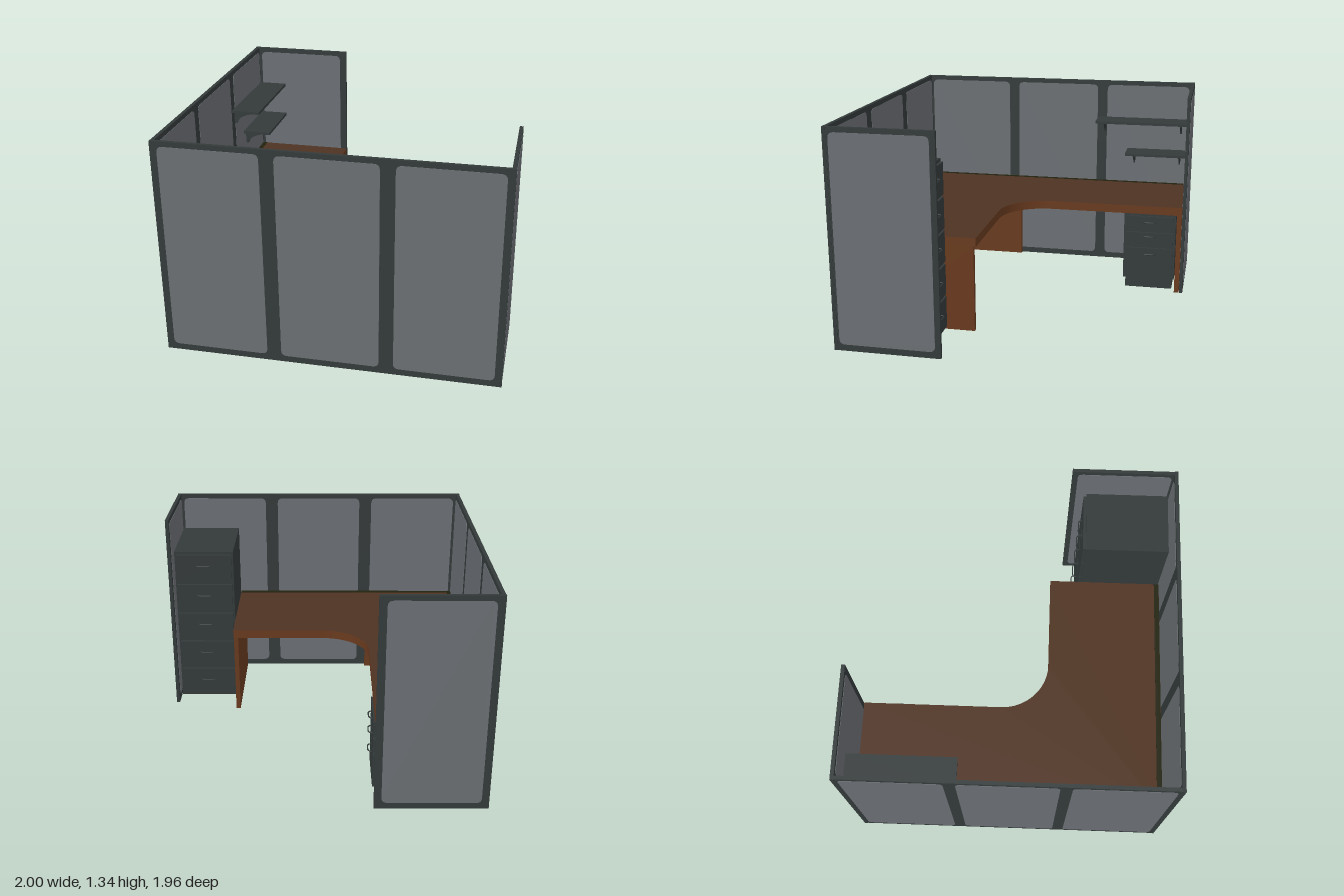
import * as THREE from 'three';

const mat = (name, color) => {
  const m = new THREE.MeshStandardMaterial({ color });
  m.name = name;
  return m;
};

export function createModel() {
  const frame = mat('dark metal', 0x343a3a);
  const fabric = mat('grey panel', 0x6b6f73);
  const woodTop = mat('desk top wood', 0x4e3322);
  const woodSide = mat('desk side wood', 0x693a1e);
  const shade = mat('dark edge strip', 0x22220f);

  const root = new THREE.Group();
  root.name = 'officeCubicle';

  const group = (name, parent = root) => {
    const g = new THREE.Group();
    g.name = name;
    parent.add(g);
    return g;
  };
  const add = (parent, name, geometry, material) => {
    const m = new THREE.Mesh(geometry, material);
    m.name = name;
    parent.add(m);
    return m;
  };
  // box given by its two corners
  const box = (parent, name, material, [x0, x1], [y0, y1], [z0, z1]) => {
    const m = add(parent, name, new THREE.BoxGeometry(x1 - x0, y1 - y0, z1 - z0), material);
    m.position.set((x0 + x1) / 2, (y0 + y1) / 2, (z0 + z1) / 2);
    return m;
  };

  // partition walls: a dark frame with a rounded grey inset showing on both sides
  const T = 0.022, H = 1.335, W = 0.66;
  const insetShape = (w, h, r) => {
    const s = new THREE.Shape(), x = w / 2, y = h / 2;
    s.moveTo(-x + r, -y).lineTo(x - r, -y).quadraticCurveTo(x, -y, x, -y + r);
    s.lineTo(x, y - r).quadraticCurveTo(x, y, x - r, y);
    s.lineTo(-x + r, y).quadraticCurveTo(-x, y, -x, y - r);
    s.lineTo(-x, -y + r).quadraticCurveTo(-x, -y, -x + r, -y);
    return s;
  };
  const insetDepth = T + 0.005;
  const insetGeo = new THREE.ExtrudeGeometry(insetShape(0.582, 1.265, 0.035),
    { depth: insetDepth, bevelEnabled: false, curveSegments: 5 });
  insetGeo.translate(0, 0.6725, -insetDepth / 2);
  const wall = (name, x, z, turn, count, pitch) => {
    const g = group(name);
    g.position.set(x, 0, z);
    g.rotation.y = turn;
    const half = count * pitch / 2;
    box(g, 'wallFrame', frame, [-half, half], [0, H], [-T / 2, T / 2]);
    for (let i = 0; i < count; i++) {
      add(g, 'wallInset', insetGeo, fabric).position.x = (i + 0.5) * pitch - half;
    }
  };
  wall('frontWall', 0, 0.966, 0, 3, 2 / 3);
  wall('sideWall', -0.987, 0, Math.PI / 2, 3, 1.954 / 3);
  wall('backWall', -0.665, -0.966, 0, 1, 0.67);
  wall('shortWall', 0.987, 0.652, Math.PI / 2, 1, 0.65);

  // L-shaped desk with a rounded inner corner
  const desk = group('desk');
  const s = new THREE.Shape();
  s.moveTo(-0.974, -0.953).lineTo(0.57, -0.953).lineTo(0.57, -0.225).lineTo(-0.03, -0.225);
  s.absarc(-0.03, 0.075, 0.3, -Math.PI / 2, -Math.PI, true);
  s.lineTo(-0.33, 0.953).lineTo(-0.974, 0.953);
  const topGeo = new THREE.ExtrudeGeometry(s, { depth: 0.055, bevelEnabled: false, curveSegments: 16 });
  topGeo.rotateX(-Math.PI / 2).translate(0, 0.545, 0);
  add(desk, 'deskTop', topGeo, [woodTop, woodSide]);
  box(desk, 'edgeStrip', shade, [-0.973, -0.945], [0.598, 0.602], [-0.95, 0.952]);
  box(desk, 'edgeStrip', shade, [-0.945, 0.569], [0.598, 0.602], [0.92, 0.952]);

  // end panels, aprons and corner boards below the top
  box(desk, 'endPanel', woodSide, [0.54, 0.569], [0, 0.546], [0.24, 0.952]);
  box(desk, 'endPanel', woodSide, [-0.972, -0.335], [0, 0.546], [-0.952, -0.92]);
  box(desk, 'apron', woodSide, [-0.972, 0.54], [0.405, 0.546], [0.925, 0.952]);
  box(desk, 'apron', woodSide, [-0.972, -0.945], [0.405, 0.546], [-0.92, 0.925]);
  box(desk, 'cornerBoard', woodSide, [-0.972, -0.35], [0, 0.405], [0.925, 0.952]);
  box(desk, 'cornerBoard', woodSide, [-0.972, -0.945], [0, 0.405], [0.27, 0.925]);

  // drawer handle: a bowed bar in its own x/z plane, sticking out to +z
  const handleGeo = (w, d, corner) => new THREE.TubeGeometry(new THREE.CatmullRomCurve3([
    new THREE.Vector3(-w / 2, 0, 0), new THREE.Vector3(-w / 2 * corner, 0, d * 0.8),
    new THREE.Vector3(0, 0, d), new THREE.Vector3(w / 2 * corner, 0, d * 0.8),
    new THREE.Vector3(w / 2, 0, 0)]), 16, 0.004, 6);

  // tall cabinet with five drawers facing the back
  const tall = group('tallCabinet');
  box(tall, 'cabinetBody', frame, [0.573, 0.968], [0.01, 1.085], [0.43, 0.948]);
  const tallHandle = handleGeo(0.1, 0.027, 0.95);
  for (let i = 0; i < 5; i++) {
    const y = 0.025 + i * 0.211;
    box(tall, 'drawerFront', frame, [0.585, 0.958], [y, y + 0.197], [0.412, 0.43]);
    const h = add(tall, 'drawerHandle', tallHandle, frame);
    h.position.set(0.77, y + 0.125, 0.412);
    h.rotation.y = Math.PI;
  }

  // pedestal under the desk with three drawers facing +x
  const ped = group('pedestal');
  box(ped, 'pedestalBody', frame, [-0.93, -0.337], [0.09, 0.543], [-0.915, -0.57]);
  box(ped, 'pedestalBase', frame, [-0.92, -0.36], [0.015, 0.09], [-0.9, -0.585]);
  const pedHandle = handleGeo(0.09, 0.023, 0.75);
  for (const [y0, y1, hy] of [[0.1, 0.308, 0.27], [0.32, 0.417, 0.395], [0.43, 0.53, 0.493]]) {
    box(ped, 'drawerFront', frame, [-0.337, -0.322], [y0, y1], [-0.9, -0.585]);
    const h = add(ped, 'drawerHandle', pedHandle, frame);
    h.position.set(-0.322, hy, -0.742);
    h.rotation.y = Math.PI / 2;
  }
  for (const y of [0.32, 0.5]) {
    box(ped, 'hinge', frame, [-0.345, -0.325], [y - 0.015, y + 0.015], [-0.918, -0.905]);
  }

  // wall shelves on tapered brackets
  const b = new THREE.Shape();
  b.moveTo(0, 0).lineTo(0, -0.085).lineTo(0.018, -0.085).quadraticCurveTo(0.03, -0.025, 0.15, -0.012);
  b.lineTo(0.15, 0);
  const bracketGeo = new THREE.ExtrudeGeometry(b, { depth: 0.012, bevelEnabled: false, curveSegments: 6 });
  const shelf = (y, zFront, brackets) => {
    const g = group('wallShelf');
    box(g, 'shelfBoard', frame, [-0.974, -0.785], [y, y + 0.017], [-0.952, zFront]);
    for (const z of brackets) add(g, 'shelfBracket', bracketGeo, frame).position.set(-0.974, y, z - 0.006);
  };
  shelf(1.057, -0.3, [-0.35, -0.895]);
  shelf(0.832, -0.515, [-0.567, -0.892]);

  return root;
}
